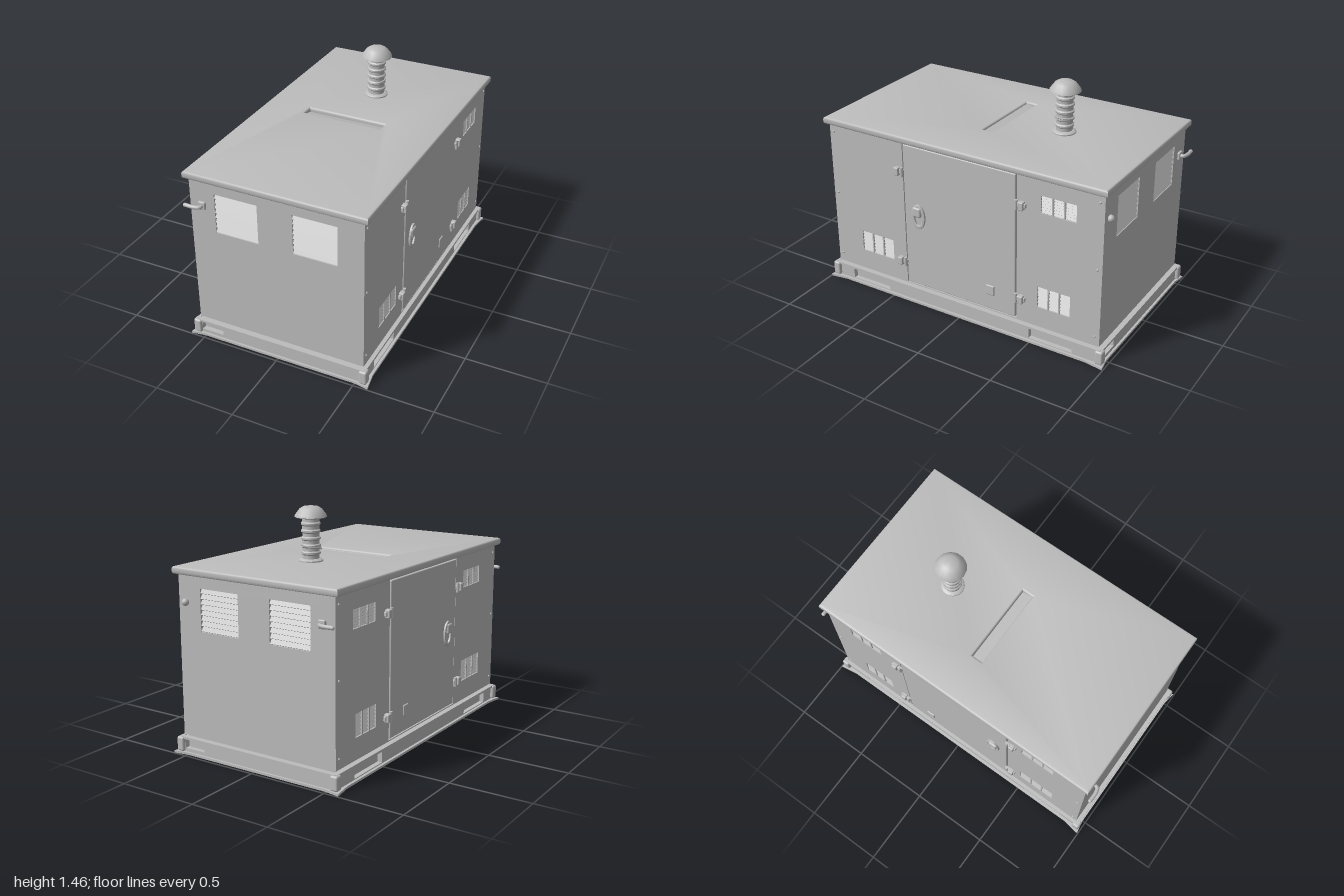
import * as THREE from 'three';
import { toCreasedNormals } from 'three/addons/utils/BufferGeometryUtils.js';
import { RoundedBoxGeometry } from 'three/addons/geometries/RoundedBoxGeometry.js';

const grey = new THREE.MeshStandardMaterial({ color: 0xbcbcbc });
grey.name = 'painted steel grey';

const HX = 0.545, HZ = 0.95; // half width and half length of the housing
const T = 0.03;              // wall thickness

function add(parent, name, geometry, x = 0, y = 0, z = 0) {
  const mesh = new THREE.Mesh(geometry, grey);
  mesh.name = name;
  mesh.position.set(x, y, z);
  parent.add(mesh);
  return mesh;
}

const box = (w, h, d) => new THREE.BoxGeometry(w, h, d);

function rectPoints(x0, y0, x1, y1) {
  return [[x0, y0], [x1, y0], [x1, y1], [x0, y1]].map(([x, y]) => new THREE.Vector2(x, y));
}

// Flat sheet with rectangular openings; its outer face lies at local z = 0
function sheet(rect, holes, depth = T) {
  const shape = new THREE.Shape(rectPoints(...rect));
  holes.forEach(h => shape.holes.push(new THREE.Path(rectPoints(...h))));
  return new THREE.ExtrudeGeometry(shape, { depth, bevelEnabled: false }).translate(0, 0, -depth);
}

// Tilted slats across an opening, with optional upright dividers
function louvre(parent, [x0, y0, x1, y1], rows, columns) {
  const g = new THREE.Group();
  g.name = 'louvre';
  const pitch = (y1 - y0) / rows;
  for (let i = 0; i < rows; i++) {
    const slat = add(g, 'slat', box(x1 - x0, pitch * 0.95, 0.005), (x0 + x1) / 2, y0 + (i + 0.5) * pitch, -0.012);
    slat.rotation.x = -0.6;
  }
  for (let i = 1; i < columns; i++)
    add(g, 'divider', box(0.009, y1 - y0, 0.014), x0 + (x1 - x0) * i / columns, (y0 + y1) / 2, -0.007);
  parent.add(g);
}

// Group whose local +z points out of the housing
function face(root, name, angle, distance) {
  const g = new THREE.Group();
  g.name = name;
  g.rotation.y = angle;
  g.position.set(Math.sin(angle) * distance, 0, Math.cos(angle) * distance);
  root.add(g);
  return g;
}

// End wall with two large louvres and a tie hook
function endWall(root, name, angle, hookX) {
  const g = face(root, name, angle, HZ);
  const vents = [[-0.385, 0.765, -0.11, 1.02], [0.11, 0.765, 0.385, 1.02]];
  add(g, 'endPanel', sheet([-HX, 0.118, HX, 1.1], vents));
  vents.forEach(v => louvre(g, v, 8, 1));
  add(g, 'hookPlate', new RoundedBoxGeometry(0.045, 0.05, 0.02, 2, 0.006), hookX, 0.93, 0.005);
  const s = Math.sign(hookX);
  const path = new THREE.CatmullRomCurve3([[0, 0], [0, 0.03], [0.03, 0.042], [0.09, 0.042]]
    .map(([x, z]) => new THREE.Vector3(hookX + s * x, 0.93, z)));
  add(g, 'hook', new THREE.TubeGeometry(path, 16, 0.012, 8));
  add(g, 'hookTip', new THREE.SphereGeometry(0.0125, 10, 8), hookX + s * 0.09, 0.93, 0.042);
  return g;
}

// Side wall with door, hinges, handle and small louvres; m maps model z to local x
function sideWall(root, name, angle, m, ventList) {
  const g = face(root, name, angle, HX);
  const vents = ventList.map(([a, y0, b, y1]) => [Math.min(m * a, m * b), y0, Math.max(m * a, m * b), y1]);
  add(g, 'sidePanel', sheet([-HZ, 0.118, HZ, 1.1], [[-0.4, 0.125, 0.4, 1.085], ...vents]));
  vents.forEach(v => louvre(g, v, 6, 3));
  add(g, 'door', new RoundedBoxGeometry(0.784, 0.944, 0.034, 2, 0.006), 0, 0.605, -0.012);

  // Hinges on both edges of the door
  for (const x of [-0.4, 0.4]) for (const y of [0.275, 0.895]) {
    const s = Math.sign(x);
    add(g, 'hingeLeaf', new RoundedBoxGeometry(0.075, 0.03, 0.02, 2, 0.005), x + s * 0.025, y, 0.006);
    add(g, 'hingeBlock', new RoundedBoxGeometry(0.035, 0.052, 0.036, 2, 0.006), x + s * 0.035, y, 0.012);
    add(g, 'hingePin', new THREE.CylinderGeometry(0.01, 0.01, 0.06, 10), x, y, 0.014);
  }

  // Handle: rounded surround with a latch in its upper half
  const ring = new THREE.Shape().absellipse(0, 0, 0.045, 0.078, 0, Math.PI * 2);
  ring.holes.push(new THREE.Path().absellipse(0, 0, 0.032, 0.062, 0, Math.PI * 2));
  const hx = m * 0.29;
  add(g, 'handleSurround', toCreasedNormals(new THREE.ExtrudeGeometry(ring, {
    depth: 0.01, bevelSize: 0.004, bevelThickness: 0.005, bevelSegments: 2, curveSegments: 16,
  }), 0.6), hx, 0.62, 0.002);
  add(g, 'handleLatch', new RoundedBoxGeometry(0.06, 0.065, 0.03, 3, 0.012), hx + m * 0.006, 0.652, 0.012);
  add(g, 'smallCover', new RoundedBoxGeometry(0.056, 0.066, 0.014, 2, 0.006), m * -0.22, 0.265, 0.006);

  // Rivets beside the outer edges
  for (const x of [-0.92, 0.92]) for (const y of [0.18, 0.62, 1.04])
    add(g, 'rivet', new THREE.SphereGeometry(0.008, 8, 6), x, y, 0);
}

function lathe(points, segments) {
  const g = new THREE.LatheGeometry(points.map(([r, y]) => new THREE.Vector2(r, y)), segments);
  return toCreasedNormals(g, 0.7);
}

export function createModel() {
  const root = new THREE.Group();
  root.name = 'generatorHousing';

  // Base: foot plate flaring at the corners, channel rails with lifting pockets
  const foot = new THREE.Shape([
    [-0.59, -0.995], [-0.5, -0.98], [0.5, -0.98], [0.59, -0.995], [0.572, -0.88], [0.572, 0.88],
    [0.59, 0.995], [0.5, 0.98], [-0.5, 0.98], [-0.59, 0.995], [-0.572, 0.88], [-0.572, -0.88],
  ].map(([x, y]) => new THREE.Vector2(x, y)));
  add(root, 'footPlate', new THREE.ExtrudeGeometry(foot, { depth: 0.014, bevelEnabled: false }).rotateX(-Math.PI / 2));
  add(root, 'baseCore', box(1.05, 0.11, 1.87), 0, 0.062, 0);
  for (const s of [-1, 1]) {
    const end = face(root, 'baseEnd', s > 0 ? 0 : Math.PI, 0.966);
    add(end, 'endRail', sheet([-0.555, 0.012, 0.555, 0.105], [[-0.53, 0.035, -0.38, 0.09]]));
    add(end, 'endLip', box(1.11, 0.014, 0.02), 0, 0.1, 0);
    const side = face(root, 'baseSide', s * Math.PI / 2, 0.555);
    const pockets = [[0.54, 0.83], [-0.78, -0.49]].map(([a, b]) =>
      s > 0 ? [-b, 0.02, -a, 0.085] : [a, 0.02, b, 0.085]);
    add(side, 'sideRail', sheet([-0.966, 0.012, 0.966, 0.105], pockets));
    add(side, 'sideLip', box(1.93, 0.014, 0.02), 0, 0.1, 0);
    for (const z of [-0.962, 0.962])
      add(root, 'cornerPost', new RoundedBoxGeometry(0.05, 0.09, 0.05, 2, 0.012), s * 0.552, 0.06, z);
  }

  // Housing: inner core seen behind louvres and door gaps, then the four walls
  add(root, 'innerCore', box(2 * (HX - T), 1, 2 * (HZ - T)), 0, 0.595, 0);
  endWall(root, 'frontWall', 0, -0.465);
  const back = endWall(root, 'backWall', Math.PI, 0.465);
  add(back, 'backKnob', new THREE.SphereGeometry(0.022, 12, 8), -0.49, 0.93, 0.01);
  const frontLow = [0.5, 0.25, 0.745, 0.39];
  const backLow = [-0.54, 0.25, -0.755, 0.39];
  const backHigh = [-0.555, 0.875, -0.78, 0.985];
  const frontHigh = [0.5, 0.875, 0.725, 0.985];
  sideWall(root, 'rightWall', Math.PI / 2, -1, [frontLow, backLow, backHigh]);
  sideWall(root, 'leftWall', -Math.PI / 2, 1, [frontLow, backLow, backHigh, frontHigh]);

  // Roof with rounded rim and a shallow lifting slot
  const B = 0.013;
  const roofShape = new THREE.Shape(rectPoints(-0.574 + B, -0.974 + B, 0.574 - B, 0.974 - B));
  roofShape.holes.push(new THREE.Path(rectPoints(-0.29 - B, -0.03 - B, 0.22 + B, 0.04 + B)));
  const roof = new THREE.ExtrudeGeometry(roofShape, {
    depth: 0.046 - 2 * B, bevelSize: B, bevelThickness: B, bevelSegments: 3,
  }).rotateX(-Math.PI / 2);
  add(root, 'roof', toCreasedNormals(roof, 0.7), 0, 1.089 + B, 0);
  const floor = add(root, 'slotFloor', box(0.56, 0.012, 0.11), -0.035, 1.108, -0.005);
  floor.rotation.x = -0.22;

  // Exhaust: flanged, ribbed pipe under a mushroom cap
  const stack = new THREE.Group();
  stack.name = 'exhaust';
  stack.position.set(0, 0, -0.4);
  root.add(stack);
  const profile = [[0.072, 1.125], [0.072, 1.142], [0.062, 1.15], [0.05, 1.152]];
  for (let i = 0; i < 5; i++) {
    const y = 1.185 + i * 0.043;
    profile.push([0.05, y - 0.012], [0.058, y - 0.005], [0.058, y + 0.005], [0.05, y + 0.012]);
  }
  profile.push([0.05, 1.405]);
  add(stack, 'ribbedPipe', lathe(profile, 20));
  const clamp = add(stack, 'pipeClamp', new THREE.TorusGeometry(0.054, 0.006, 6, 24), 0, 1.228, 0);
  clamp.rotation.set(Math.PI / 2, 0.2, 0);
  add(stack, 'rainCap', lathe([[0, 1.4], [0.085, 1.392], [0.096, 1.397], [0.092, 1.41], [0.066, 1.444],
    [0.045, 1.457], [0, 1.461]], 14));

  return root;
}
